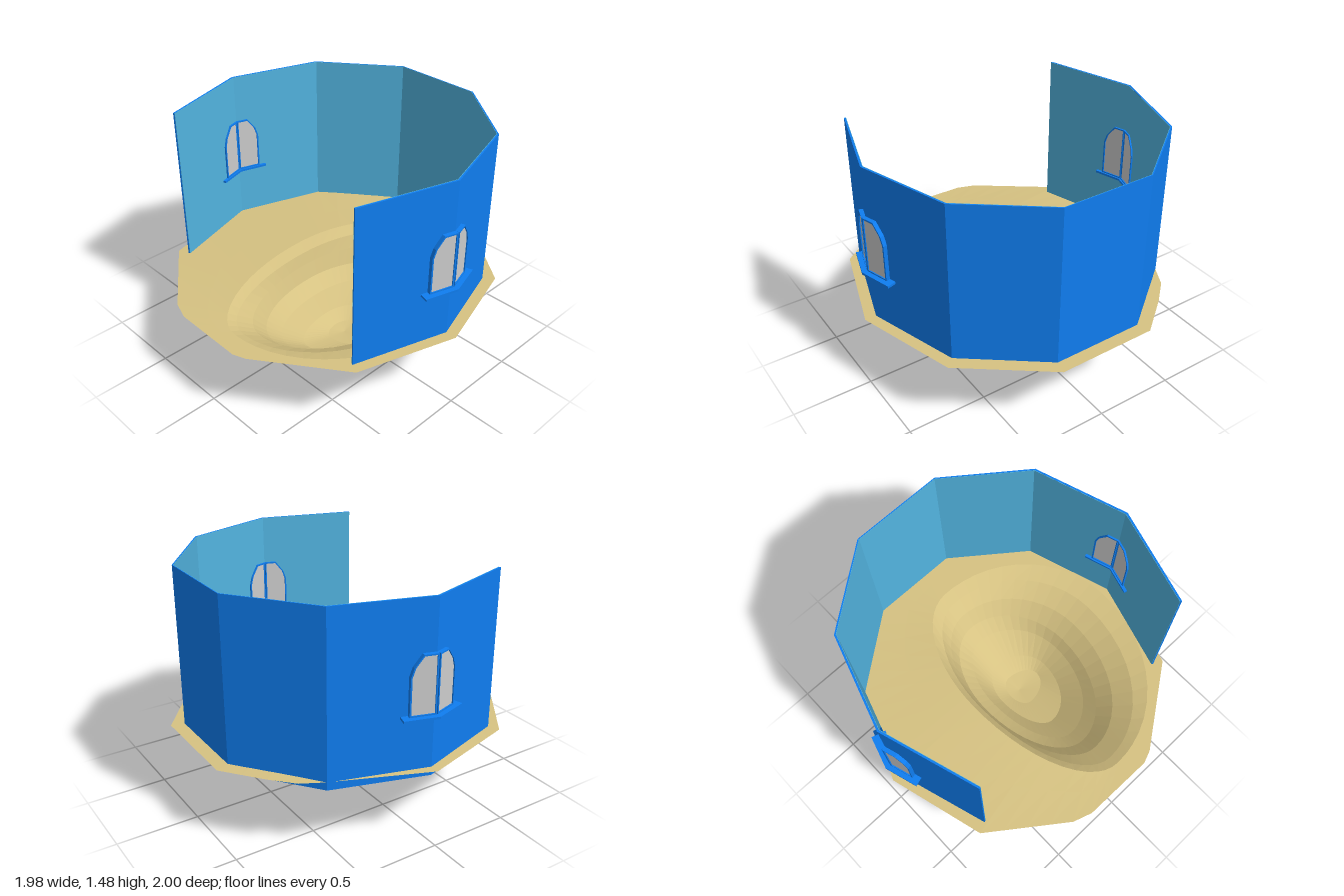
import * as THREE from 'three';

const paint = (color) => new THREE.MeshStandardMaterial({ color, flatShading: true, side: THREE.DoubleSide });
const BLUE = paint(0x0f7df0), LINING = paint(0x52b4e0), SAND = paint(0xd6c282), GREY = paint(0xcccccc);

// Corners of the open wall as [x, z], from the right front end round the back to the left
const WALL = [[-0.755, 0.58], [-0.935, 0], [-0.755, -0.565], [-0.292, -0.92],
  [0.28, -0.92], [0.742, -0.565], [0.92, 0], [0.742, 0.58]];
// Outer edge of the ground as [x, z]
const RIM = [[0.3, -1], [0.8, -0.62], [0.99, 0], [0.8, 0.61], [0.3, 0.965], [0.22, 0.995], [-0.24, 0.99],
  [-0.36, 0.95], [-0.82, 0.61], [-0.99, 0], [-0.75, -0.57], [-0.68, -0.7], [-0.55, -0.82], [-0.32, -1]];
// Pit contours: height, then left, right, back and front reach
const PIT = [[0.49, -0.31, 0.86, -0.72, 0.88], [0.46, -0.27, 0.73, -0.64, 0.82], [0.38, -0.25, 0.6, -0.56, 0.7],
  [0.28, -0.22, 0.5, -0.49, 0.6], [0.2, -0.14, 0.45, -0.4, 0.5], [0.08, -0.06, 0.34, -0.22, 0.33],
  [0.025, 0.02, 0.27, -0.11, 0.12], [0.01, 0.1, 0.1, 0, 0]];
const PIT_X = 0.1;

function mesh(name, geometry, material) {
  const m = new THREE.Mesh(geometry, material);
  m.name = name;
  return m;
}

// Upright prism over a plan outline given as [x, z]
function prism(plan, y, height) {
  const shape = new THREE.Shape(plan.map(([x, z]) => new THREE.Vector2(x, -z)));
  const g = new THREE.ExtrudeGeometry(shape, { depth: height, bevelEnabled: false });
  return g.rotateX(-Math.PI / 2).translate(0, y, 0);
}

// Thin band following the wall line between two scales
function band(outer, inner) {
  const at = (s) => WALL.map(([x, z]) => [x * s, z * (0.5 + s / 2)]);
  return prism([...at(outer), ...at(inner).reverse()], 0.44, 1.045);
}

// Ground sheet: loops from the rim inward, down to the bottom of the pit
function groundGeometry() {
  const rim = [];
  RIM.forEach(([x, z], i) => {
    const [u, v] = RIM[(i + 1) % RIM.length];
    const steps = Math.max(1, Math.round(Math.hypot(u - x, v - z) / 0.13));
    for (let k = 0; k < steps; k++) rim.push([x + (u - x) * k / steps, z + (v - z) * k / steps]);
  });
  const contour = ([y, left, right, back, front]) => rim.map(([x, z]) => {
    const a = Math.atan2(z, x - PIT_X), c = Math.cos(a), s = Math.sin(a);
    const lift = y > 0.47 ? 0.035 * Math.max(0, -c) ** 2 : 0;
    return [PIT_X + Math.abs(c) * (c > 0 ? right - PIT_X : left - PIT_X), y + lift, Math.abs(s) * (s > 0 ? front : back)];
  });
  const loops = PIT.map(contour);
  const edge = rim.map(([x, z]) => [x, 0.49, z]);
  const middle = edge.map((p, i) => p.map((v, k) => v * 0.4 + loops[0][i][k] * 0.6));
  const rows = [edge, middle, ...loops], n = rim.length, index = [];
  for (let r = 0; r < rows.length - 1; r++) {
    for (let i = 0; i < n; i++) {
      const a = r * n + i, b = r * n + (i + 1) % n;
      index.push(a, a + n, b, b, a + n, b + n);
    }
  }
  const g = new THREE.BufferGeometry();
  g.setAttribute('position', new THREE.Float32BufferAttribute(rows.flat(2), 3));
  g.setIndex(index);
  g.computeVertexNormals();
  return g;
}

// Half of an arched window, from the mullion outward; inset shrinks the outline
function halfArch(inset) {
  const top = 1.18 - inset, side = 0.15 - inset;
  return [[-0.004 + inset, 0.825 + inset], [side, 0.825 + inset], [side, 1.055],
    [side - 0.018, 1.11], [0.08 - inset * 0.4, top], [-0.004 + inset, top]].map(([x, y]) => new THREE.Vector2(x, y));
}

function slab(outline, hole, depth) {
  const shape = new THREE.Shape(outline);
  if (hole) shape.holes.push(new THREE.Path(hole));
  return new THREE.ExtrudeGeometry(shape, { depth, bevelEnabled: false }).translate(0, 0, -depth / 2);
}

// Window folded round the wall corner at z = 0
function windowAt(cornerX, name) {
  const side = Math.sign(cornerX), group = new THREE.Group();
  group.name = name;
  for (const dir of [1, -1]) {
    const half = new THREE.Group();
    half.name = dir > 0 ? 'frontHalf' : 'backHalf';
    const along = new THREE.Vector3(-0.292 * side, 0, 0.956 * dir).normalize();
    const up = new THREE.Vector3(0, 1, 0);
    const basis = new THREE.Matrix4().makeBasis(along, up, new THREE.Vector3().crossVectors(along, up));
    half.quaternion.setFromRotationMatrix(basis);
    half.position.x = cornerX;
    half.add(mesh('frame', slab(halfArch(0), halfArch(0.009), 0.05), BLUE));
    half.add(mesh('pane', slab(halfArch(0.005), null, 0.036), GREY));
    group.add(half);
  }
  const sill = [[0.057, 0], [-0.003, 0.2], [-0.089, 0.174], [-0.037, 0], [-0.089, -0.174], [-0.003, -0.2]];
  group.add(mesh('sill', prism(sill.map(([x, z]) => [cornerX + side * x, z]), 0.812, 0.014), BLUE));
  return group;
}

export function createModel() {
  const model = new THREE.Group();
  model.name = 'roundRoom';
  model.add(mesh('ground', groundGeometry(), SAND));
  model.add(mesh('outerWall', band(1, 0.988), BLUE));
  model.add(mesh('wallLining', band(0.987, 0.984), LINING));
  model.add(windowAt(0.92, 'leftWindow'), windowAt(-0.935, 'rightWindow'));
  return model;
}
